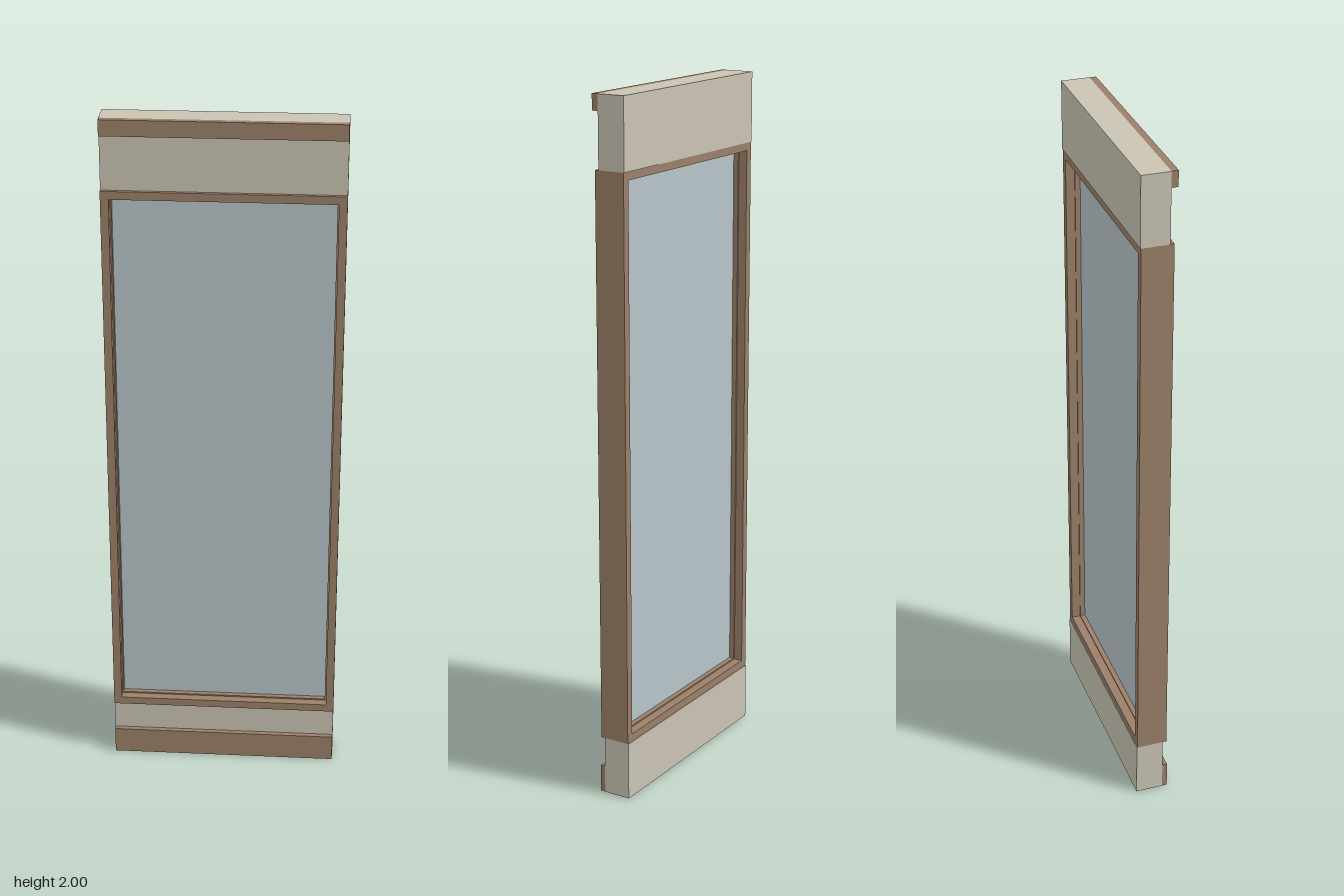
import * as THREE from 'three';

export function createModel() {
  const group = new THREE.Group();
  const wall = new THREE.MeshStandardMaterial({ name: 'plaster', color: 0xcac4b4 });
  const wood = new THREE.MeshStandardMaterial({ name: 'brown wood', color: 0x9b8069 });
  const pane = new THREE.MeshStandardMaterial({ name: 'pale glass', color: 0xb8c5ca });

  // Box given by its lower and upper corners
  function box(name, material, [x0, y0, z0], [x1, y1, z1]) {
    const mesh = new THREE.Mesh(new THREE.BoxGeometry(x1 - x0, y1 - y0, z1 - z0), material);
    mesh.position.set((x0 + x1) / 2, (y0 + y1) / 2, (z0 + z1) / 2);
    mesh.name = name;
    group.add(mesh);
  }

  // Rectangular ring: full-height side posts with rails between them
  function ring(name, halfWidth, bottom, top, size, z0, z1) {
    const inner = halfWidth - size;
    box(name + 'LeftPost', wood, [inner, bottom, z0], [halfWidth, top, z1]);
    box(name + 'RightPost', wood, [-halfWidth, bottom, z0], [-inner, top, z1]);
    box(name + 'TopRail', wood, [-inner, top - size, z0], [inner, top, z1]);
    box(name + 'BottomRail', wood, [-inner, bottom, z0], [inner, bottom + size, z1]);
  }

  const W = 0.333, sill = 0.17, head = 1.8;

  // Wall above and below the window
  box('lowerWall', wall, [-W, 0, -0.05], [W, sill, 0.031]);
  box('upperWall', wall, [-W, head, -0.05], [W, 2, 0.031]);

  // Trim boards on the front
  box('baseboard', wood, [-0.332, 0, 0.031], [0.332, 0.08, 0.046]);
  box('crownTrim', wood, [-0.332, 1.955, 0.031], [0.332, 2, 0.05]);

  // Window frame, glazing stop and glass
  ring('frame', W, sill, head, 0.023, -0.048, 0.042);
  ring('stop', W - 0.023, sill + 0.023, head - 0.023, 0.004, -0.022, 0.016);
  box('glass', pane, [-0.307, sill + 0.026, -0.007], [0.307, head - 0.026, 0.001]);

  return group;
}
